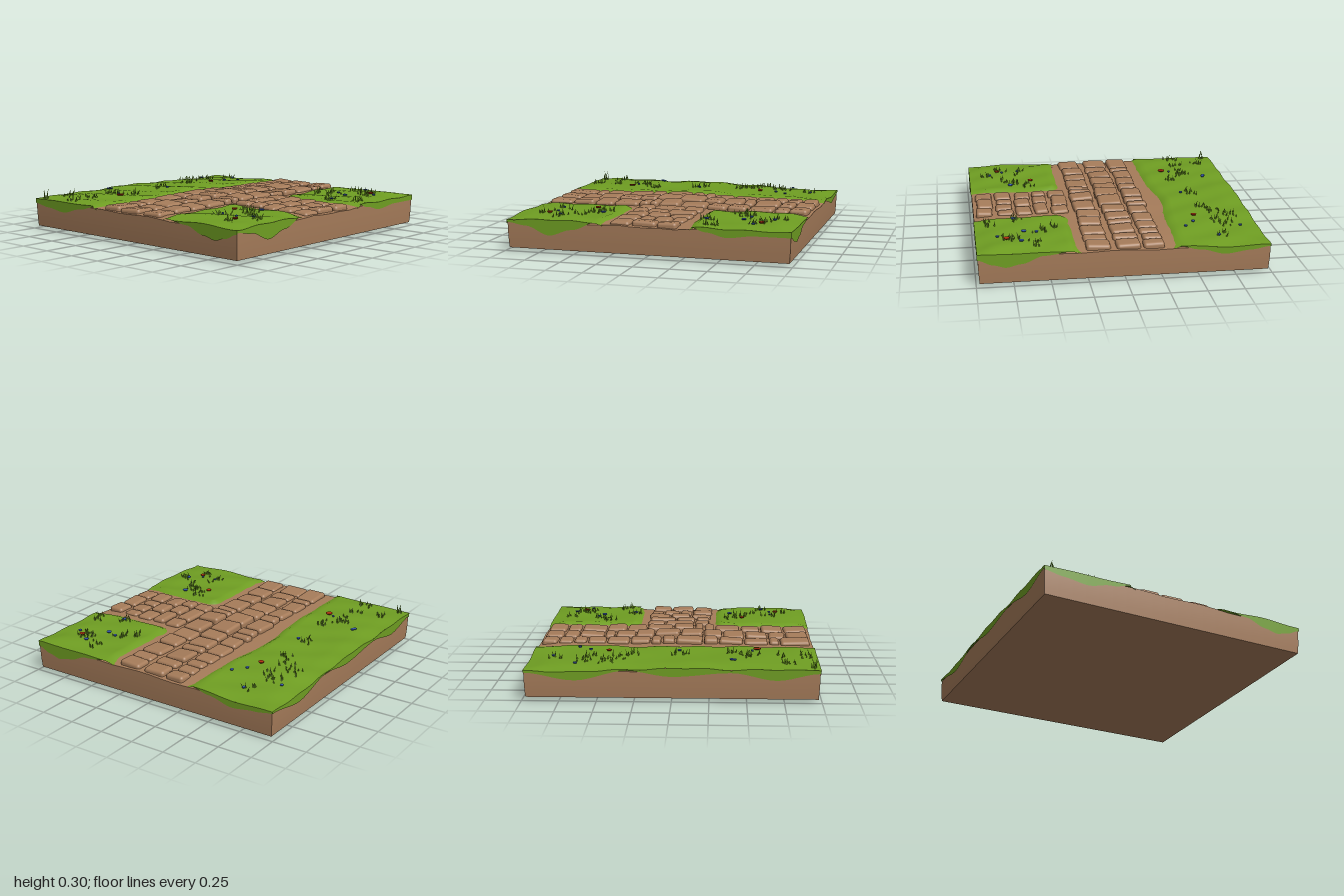
import * as THREE from 'three';
import { mergeGeometries } from 'three/addons/utils/BufferGeometryUtils.js';
import { RoundedBoxGeometry } from 'three/addons/geometries/RoundedBoxGeometry.js';

let seed = 7;
const rand = () => (seed = (seed * 16807) % 2147483647) / 2147483647;
const jitter = (a) => (rand() - 0.5) * 2 * a;
const smooth = (t) => THREE.MathUtils.smoothstep(t, 0, 1);

// Gently crumpled ground height, sinking at the back left corner
const ground = (x, z) => 0.237
  + 0.006 * Math.sin(9 * x + 4 * z) * Math.cos(7 * z - 3 * x)
  + 0.004 * Math.sin(21 * x - 13 * z)
  - 0.03 * smooth((x - z - 0.9) / 1.1)
  - 0.012 * smooth((Math.max(Math.abs(x), Math.abs(z)) - 0.85) / 0.15);

// Grid surface from a rule (u, v) -> [x, y, z]
function surface(nu, nv, rule) {
  const g = new THREE.PlaneGeometry(1, 1, nu, nv);
  const p = g.attributes.position;
  for (let i = 0; i < p.count; i++) p.setXYZ(i, ...rule(p.getX(i) + 0.5, 0.5 - p.getY(i)));
  g.computeVertexNormals();
  return g;
}

export function createModel() {
  seed = 7;
  const mat = (name, color, side = THREE.FrontSide) => {
    const m = new THREE.MeshStandardMaterial({ color, side });
    m.name = name;
    return m;
  };
  const dirt = mat('dirt brown', 0xa67c5a);
  const grass = mat('grass green', 0x6f9e22, THREE.DoubleSide);
  const red = mat('flower red', 0xb2330f);
  const blue = mat('flower blue', 0x4068c8);

  const model = new THREE.Group();
  model.name = 'pathTile';
  const add = (name, geometry, material) => {
    const m = new THREE.Mesh(geometry, material);
    m.name = name;
    model.add(m);
    return m;
  };

  // Earth slab with a shallow bulging underside
  const slab = new THREE.BoxGeometry(1.97, 1, 1.97, 20, 4, 20);
  const p = slab.attributes.position;
  for (let i = 0; i < p.count; i++) {
    const x = p.getX(i), z = p.getZ(i), t = p.getY(i) + 0.5;
    const r = Math.max(Math.abs(x), Math.abs(z)) / 0.985;
    const low = 0.02 * r ** 2;
    const high = Math.min(0.222, ground(x, z) - 0.015);
    const s = 1 - 0.008 * (1 - t) ** 2;
    p.setXYZ(i, x * s, low + (high - low) * t, z * s);
  }
  slab.computeVertexNormals();
  add('earthSlab', slab, dirt);

  // Cobbles: row centre z, depth, then the joints along x
  const rows = [
    [-0.2, 0.16, [-0.97, -0.75, -0.67, -0.49, -0.31, -0.2, 0, 0.1, 0.18, 0.33, 0.5, 0.64, 0.74, 0.85, 0.97]],
    [-0.02, 0.19, [-0.97, -0.8, -0.67, -0.5, -0.34, -0.2, -0.03, 0.16, 0.3, 0.45, 0.53, 0.72, 0.83, 0.97]],
    [0.18, 0.18, [-0.97, -0.79, -0.62, -0.47, -0.28, -0.2, -0.13, 0.03, 0.23, 0.38, 0.53, 0.72, 0.83, 0.97]],
    [0.36, 0.14, [-0.24, -0.12, 0.1, 0.24]],
    [0.49, 0.12, [-0.24, -0.13, 0.02, 0.23]],
    [0.62, 0.13, [-0.25, -0.09, 0.07, 0.24]],
    [0.76, 0.14, [-0.26, -0.1, 0, 0.13, 0.23]],
    [0.905, 0.14, [-0.26, -0.11, 0.07, 0.22]],
  ];
  const stones = [];
  for (const [z, depth, joints] of rows) {
    for (let i = 0; i < joints.length - 1; i++) {
      const x = (joints[i] + joints[i + 1]) / 2;
      const w = joints[i + 1] - joints[i] - 0.012;
      const d = depth - 0.012 - rand() * 0.015;
      const top = 0.242 + 0.022 * Math.exp(-6 * ((x + 0.05) ** 2 + z * z)) + jitter(0.004);
      const g = new RoundedBoxGeometry(w, 0.07, d, 3, 0.022);
      g.rotateZ(jitter(0.06)).rotateX(jitter(0.06)).rotateY(jitter(0.05));
      stones.push(g.translate(x, top - 0.035, z + jitter(0.008)));
    }
  }
  add('cobblestones', mergeGeometries(stones), dirt);

  // Grass sinks into the earth along its border with the path
  const bank = (x, z, d) => 0.205 + (ground(x, z) - 0.205) * smooth(d / 0.06);
  add('backGrass', surface(48, 20, (u, v) => {
    const x = -0.99 + 1.98 * u;
    const edge = -0.325 - 0.045 * Math.exp(-14 * (x - 0.08) ** 2);
    const z = -0.99 + (edge + 0.99) * v;
    return [x, bank(x, z, edge - z), z];
  }), grass);

  // Front lawns with a rounded inner corner
  for (const side of [-1, 1]) {
    add(side < 0 ? 'frontRightGrass' : 'frontLeftGrass', surface(22, 22, (u, v) => {
      let a = 0.73 * u, b = 0.69 * v;
      const d = Math.min(a, b), r = 0.1;
      if (a < r && b < r) {
        const da = r - a, db = r - b, len = Math.hypot(da, db) || 1;
        const k = Math.max(da, db) / len;
        a = r - da * k;
        b = r - db * k;
      }
      const x = side * (0.26 + a + 0.04 * smooth((b - 0.45) / 0.3) * (1 - a / 0.73));
      const z = 0.3 + b;
      return [x, bank(x, z, d), z];
    }), grass);
  }

  // Ragged turf hanging over the sides: [position, lower edge]
  const skirt = (name, place, edge) => add(name, surface(40, 2, (u, v) => {
    const t = edge[0][0] + (edge.at(-1)[0] - edge[0][0]) * u;
    let k = 0;
    while (k < edge.length - 2 && t > edge[k + 1][0]) k++;
    const [t0, y0] = edge[k], [t1, y1] = edge[k + 1];
    const [x, z] = place(t);
    const top = ground(x, z);
    const low = Math.min(top, y0 + (y1 - y0) * smooth((t - t0) / (t1 - t0)));
    return [x, top + (low - top) * v, z];
  }), grass);
  const frontX = (t) => [t, 0.99], backX = (t) => [t, -0.99];
  skirt('frontRightTurf', frontX, [[-0.99, 0.2], [-0.85, 0.18], [-0.68, 0.12], [-0.52, 0.165], [-0.33, 0.23]]);
  skirt('frontLeftTurf', frontX, [[0.31, 0.23], [0.42, 0.2], [0.56, 0.17], [0.75, 0.19], [0.99, 0.19]]);
  skirt('backTurf', backX, [[-0.99, 0.2], [-0.7, 0.15], [-0.4, 0.2], [0, 0.17], [0.3, 0.21], [0.65, 0.14], [0.99, 0.19]]);
  for (const side of [-1, 1]) {
    const sideZ = (t) => [side * 0.99, t];
    skirt('sideFrontTurf', sideZ, [[0.33, 0.225], [0.55, 0.2], [0.7, 0.15], [0.8, 0.13], [0.88, 0.15], [0.99, 0.19]]);
    skirt('sideBackTurf', sideZ, [[-0.99, 0.19], [-0.85, 0.17], [-0.68, 0.15], [-0.5, 0.19], [-0.36, 0.22]]);
  }

  // Clumps of thin grass blades
  const clumps = [
    [-0.55, -0.68], [-0.5, -0.66], [-0.05, -0.65], [0.27, -0.65], [0.44, -0.82], [0.6, -0.77], [0.55, -0.68],
    [-0.78, -0.84], [-0.42, -0.56], [0.82, -0.7], [-0.9, -0.65], [-0.75, -0.66], [0.37, -0.72],
    [-0.7, 0.6], [-0.55, 0.7], [-0.78, 0.75], [-0.4, 0.55], [-0.65, 0.85], [-0.48, 0.66],
    [0.35, 0.7], [0.43, 0.88], [0.72, 0.77], [0.6, 0.55], [0.54, 0.47], [0.85, 0.6], [0.77, 0.73],
  ];
  const blades = [];
  const blade = (x, z, h) => {
    const g = new THREE.ConeGeometry(0.007, h, 3).translate(0, h / 2 - 0.006, 0);
    g.rotateX(jitter(0.4)).rotateZ(jitter(0.4));
    blades.push(g.translate(x, ground(x, z), z));
  };
  for (const [x, z] of clumps)
    for (let i = 0; i < 9; i++) blade(x + jitter(0.055), z + jitter(0.05), 0.025 + rand() * 0.03);
  for (let i = 0; i < 5; i++) blade(-0.94 + jitter(0.02), -0.92 + jitter(0.02), 0.05 + i * 0.01);
  add('grassBlades', mergeGeometries(blades), grass);

  // Small round flowers
  const flowers = (name, radius, material, spots) => add(name, mergeGeometries(spots.map(([x, z, s = 1]) =>
    new THREE.CylinderGeometry(radius * s, radius * s * 0.7, 0.009, 8)
      .translate(x, ground(x, z) + 0.009, z))), material);
  flowers('redFlowers', 0.021, red, [[-0.58, -0.52, 1.3], [0.45, -0.565], [-0.49, 0.525], [-0.76, 0.77], [0.75, 0.78, 1.15]]);
  flowers('blueFlowers', 0.014, blue, [
    [-0.42, -0.825], [-0.4, -0.815], [0.655, -0.855], [0.825, -0.665], [0.58, -0.535], [0.665, -0.465], [-0.04, -0.57],
    [-0.545, -0.575, 0.7], [-0.395, 0.685, 1.5], [-0.71, 0.615, 0.7], [-0.71, 0.735, 0.8], [-0.65, 0.835, 1.2],
    [0.355, 0.71, 1.4], [0.6, 0.655, 1.4], [0.635, 0.57], [0.82, 0.685, 1.3], [0.705, 0.84],
  ]);
  return model;
}
